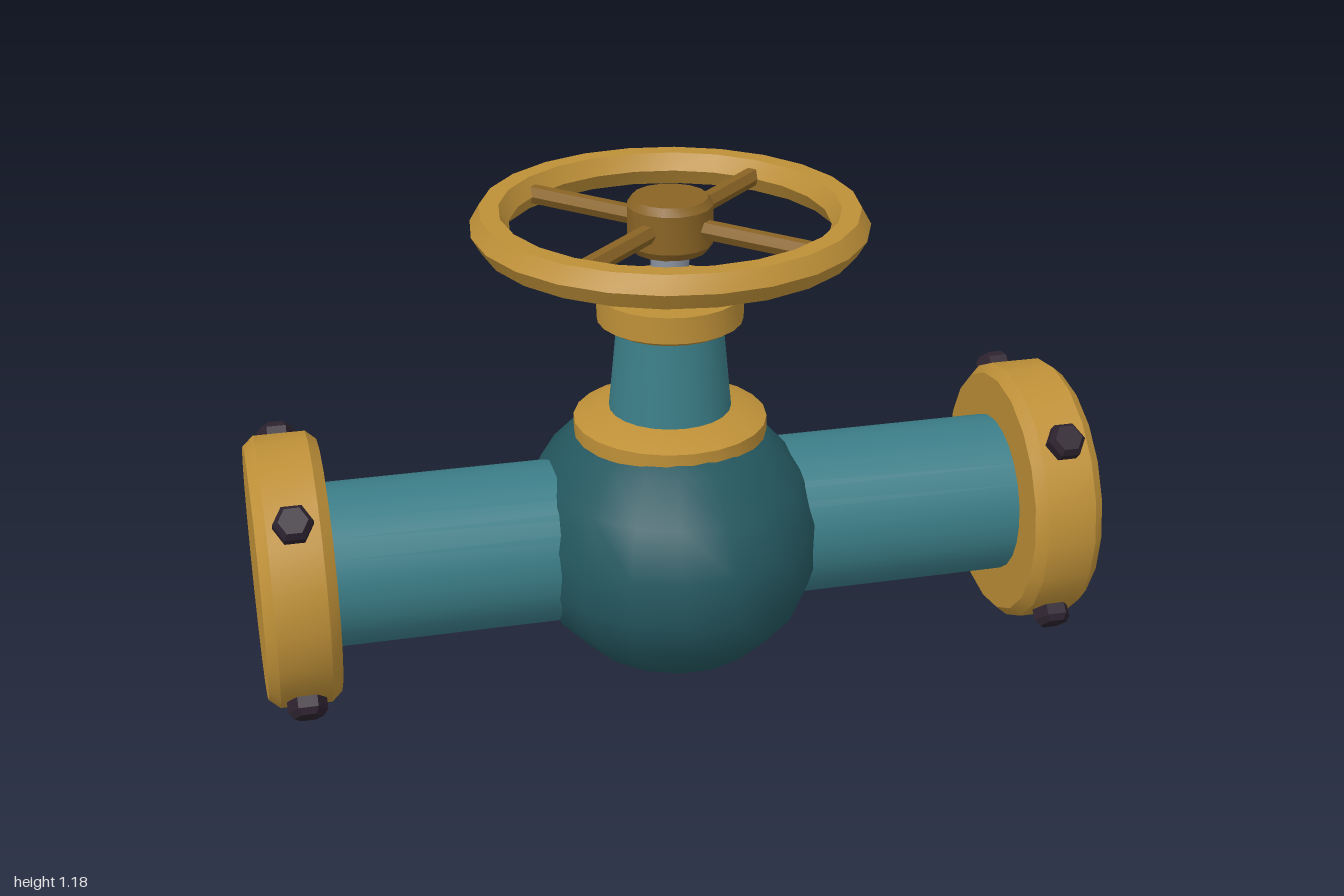
import * as THREE from 'three';
import { toCreasedNormals } from 'three/addons/utils/BufferGeometryUtils.js';

const CENTRE_Y = 0.34;

function material(name, color) {
  const m = new THREE.MeshStandardMaterial({ color });
  m.name = name;
  return m;
}

// Solid of revolution about y from [radius, height] pairs, listed bottom to top
function turned(points, sides) {
  const profile = points.map(([r, y]) => new THREE.Vector2(r, y));
  return toCreasedNormals(new THREE.LatheGeometry(profile, sides), 0.45);
}

export function createModel() {
  const brass = material('brass', 0xbe9038);
  const darkBrass = material('dark brass', 0x8a6425);
  const teal = material('teal paint', 0x3b7d87);
  const darkTeal = material('dark teal paint', 0x24575f);
  const steel = material('steel', 0x8a93a0);
  const iron = material('dark iron', 0x2c222e);

  const model = new THREE.Group();
  model.name = 'gateValve';
  const add = (name, geometry, mat, parent = model) => {
    const mesh = new THREE.Mesh(geometry, mat);
    mesh.name = name;
    parent.add(mesh);
    return mesh;
  };

  // Bulging body
  const body = add('body', new THREE.SphereGeometry(1, 18, 9), darkTeal);
  body.scale.set(0.36, 0.336, 0.415);
  body.position.y = CENTRE_Y;

  // Straight pipe through the body
  const pipe = add('pipe', new THREE.CylinderGeometry(0.195, 0.195, 1.72, 24), teal);
  pipe.rotation.z = Math.PI / 2;
  pipe.position.y = CENTRE_Y;

  // End flanges, each with four radial bolts
  const flangeGeometry = turned(
    [[0, -0.085], [0.3, -0.085], [0.322, -0.06], [0.322, 0.06], [0.3, 0.085], [0, 0.085]], 20);
  const boltGeometry = toCreasedNormals(turned(
    [[0, -0.05], [0.046, -0.05], [0.046, 0.03], [0.034, 0.045], [0, 0.045]], 6), 0.3);
  for (const side of [-1, 1]) {
    const end = new THREE.Group();
    end.name = side > 0 ? 'leftFlangeGroup' : 'rightFlangeGroup';
    end.position.set(side * 0.915, CENTRE_Y, 0);
    model.add(end);
    add('flange', flangeGeometry, brass, end).rotation.z = -Math.PI / 2;
    for (let i = 0; i < 4; i++) {
      const arm = new THREE.Group();
      arm.name = 'boltMount';
      arm.rotation.x = Math.PI / 4 + i * Math.PI / 2;
      end.add(arm);
      const bolt = add('bolt', boltGeometry, iron, arm);
      bolt.position.y = 0.315;
      bolt.rotation.y = Math.PI / 6;
    }
  }

  // Bonnet: base ring, tapered neck, top collar
  add('bonnetRing', turned(
    [[0, 0.605], [0.23, 0.605], [0.23, 0.642], [0.165, 0.668], [0, 0.668]], 24), brass);
  const neck = add('neck', new THREE.CylinderGeometry(0.123, 0.147, 0.25, 24), teal);
  neck.position.y = 0.775;
  add('collar', turned(
    [[0, 0.88], [0.15, 0.88], [0.172, 0.893], [0.172, 0.957], [0, 0.957]], 24), brass);

  // Stem
  const stem = add('stem', new THREE.CylinderGeometry(0.045, 0.045, 0.2, 16), steel);
  stem.position.y = 1.02;

  // Handwheel: hexagonal-section rim, hub and four spokes
  const wheel = new THREE.Group();
  wheel.name = 'handwheel';
  wheel.position.y = 1.125;
  model.add(wheel);
  const rim = add('rim', toCreasedNormals(new THREE.TorusGeometry(0.415, 0.045, 6, 24), 0.45), brass, wheel);
  rim.rotation.x = Math.PI / 2;
  add('hub', turned(
    [[0, -0.063], [0.088, -0.063], [0.1, -0.045], [0.1, 0.045], [0.088, 0.063], [0, 0.063]], 16),
  darkBrass, wheel);
  const spokeGeometry = toCreasedNormals(new THREE.CylinderGeometry(0.023, 0.023, 0.34, 6), 0.45);
  spokeGeometry.rotateZ(Math.PI / 2);
  spokeGeometry.translate(0.22, 0, 0);
  for (let i = 0; i < 4; i++) {
    add('spoke', spokeGeometry, darkBrass, wheel).rotation.y = Math.PI / 4 + i * Math.PI / 2;
  }

  return model;
}
